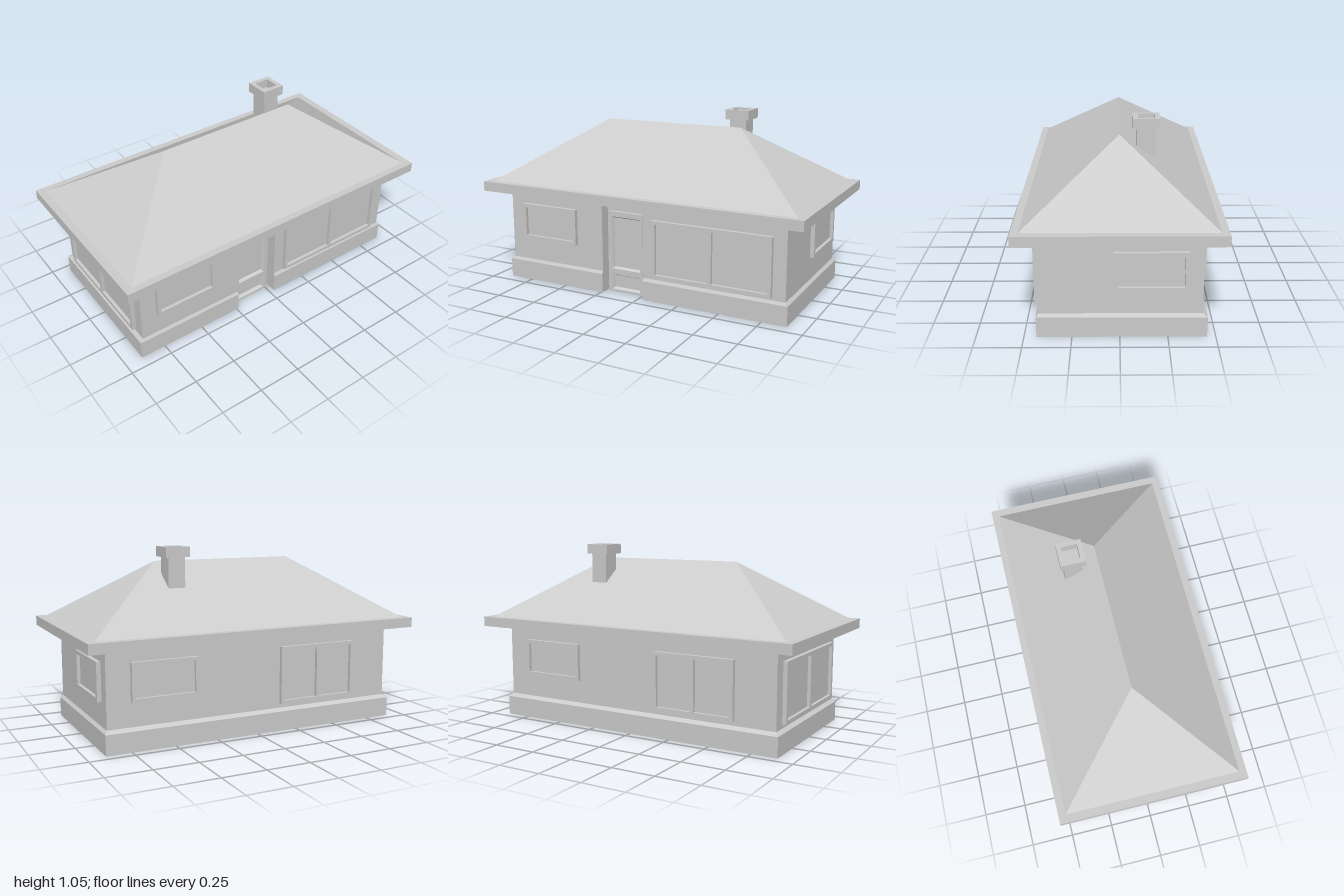
import * as THREE from 'three';

// Stack of closed plan outlines [[x, z], ...] at given heights, joined by flat quads
function loft(rings) {
  const pos = [];
  for (let r = 0; r < rings.length - 1; r++) {
    const [lo, y0] = rings[r], [hi, y1] = rings[r + 1], n = lo.length;
    for (let i = 0; i < n; i++) {
      const j = (i + 1) % n;
      const a = [lo[i][0], y0, lo[i][1]], b = [lo[j][0], y0, lo[j][1]];
      const c = [hi[j][0], y1, hi[j][1]], d = [hi[i][0], y1, hi[i][1]];
      pos.push(...a, ...b, ...c, ...a, ...c, ...d);
    }
  }
  const g = new THREE.BufferGeometry();
  g.setAttribute('position', new THREE.Float32BufferAttribute(pos, 3));
  g.computeVertexNormals();
  return g;
}

const rect = (x0, x1, y0, y1) => [[x0, y0], [x1, y0], [x1, y1], [x0, y1]];
const toPoints = (pts) => pts.map(([x, y]) => new THREE.Vector2(x, y));

// Flat plate with holes, thickness along +z
function plate(outline, holes, depth) {
  const shape = new THREE.Shape(toPoints(outline));
  for (const h of holes) shape.holes.push(new THREE.Path(toPoints(h)));
  return new THREE.ExtrudeGeometry(shape, { depth, bevelEnabled: false });
}

export function createModel() {
  const model = new THREE.Group();
  const plaster = new THREE.MeshStandardMaterial({ color: 0xcccccc, side: THREE.DoubleSide });
  plaster.name = 'pale grey';

  const add = (name, geometry, parent = model) => {
    const m = new THREE.Mesh(geometry, plaster);
    m.name = name;
    parent.add(m);
    return m;
  };

  // Plan outline with the door recess notched into the +x side
  const plan = (x0, x1, z0, z1) => [
    [x0, z1], [x1, z1], [x1, 0.24], [0.36, 0.24],
    [0.36, -0.03], [x1, -0.03], [x1, z0], [x0, z0],
  ];
  const basePlan = plan(-0.455, 0.435, -0.895, 0.9);
  const wallPlan = plan(-0.43, 0.425, -0.88, 0.88);

  // Plinth with sloped top edge, then hollow walls
  add('plinth', loft([[basePlan, 0], [basePlan, 0.113], [wallPlan, 0.13]]));
  add('walls', loft([[wallPlan, 0.13], [wallPlan, 0.56]]));

  // Eaves slab, open over the rooms
  const flip = (pts) => pts.map(([x, z]) => [x, -z]);
  const eaves = plate(rect(-0.54, 0.54, -1, 1), [flip(wallPlan)], 0.057);
  add('eaves', eaves.rotateX(-Math.PI / 2).translate(0, 0.555, 0));

  // Hipped roof: a rectangle drawn in to the ridge line
  const roofFoot = [[-0.5, 0.955], [0.5, 0.955], [0.5, -0.955], [-0.5, -0.955]];
  const ridge = [[0, 0.435], [0, 0.435], [0, -0.435], [0, -0.435]];
  add('roof', loft([[roofFoot, 0.612], [ridge, 0.963]]));

  // Chimney with a hollow cap
  const chimney = new THREE.Group();
  chimney.name = 'chimney';
  chimney.position.set(-0.145, 0, -0.38);
  model.add(chimney);
  add('chimneyStack', new THREE.BoxGeometry(0.108, 0.205, 0.1).translate(0, 0.8975, 0), chimney);
  const cap = plate(rect(-0.073, 0.073, -0.072, 0.072), [rect(-0.045, 0.045, -0.045, 0.045)], 0.057);
  add('chimneyCap', cap.rotateX(-Math.PI / 2).translate(0, 0.995, 0), chimney);

  // Framed opening: raised frame, sloped reveals and a pane close to the wall
  function framed(name, w, h, holes, depth, position, turn) {
    const g = new THREE.Group();
    g.name = name;
    g.position.set(...position);
    g.rotation.y = turn;
    model.add(g);
    add('frame', plate(rect(-w / 2, w / 2, 0, h), holes, depth), g);
    for (const q of holes) {
      const [[x0, y0], , [x1, y1]] = q;
      add('pane', new THREE.PlaneGeometry(x1 - x0, y1 - y0)
        .translate((x0 + x1) / 2, (y0 + y1) / 2, 0.005), g);
    }
    return g;
  }

  // Window with equal panes side by side; u is measured along the wall
  function window_(name, w, y0, y1, panes, position, turn) {
    const edge = 0.021, h = y1 - y0, pw = (w - edge * (panes + 1)) / panes;
    const holes = [];
    for (let i = 0; i < panes; i++) {
      const x = -w / 2 + edge + i * (pw + edge);
      holes.push(rect(x, x + pw, edge, h - edge));
    }
    framed(name, w, h, holes, 0.024, [position[0], y0, position[1]], turn);
  }
  const left = Math.PI / 2, right = -Math.PI / 2;
  window_('frontWindow', 0.71, 0.152, 0.487, 2, [0, 0.88], 0);
  window_('backWindow', 0.385, 0.265, 0.48, 1, [-0.16, -0.88], Math.PI);
  window_('leftSmallWindow', 0.375, 0.265, 0.48, 1, [0.425, 0.598], left);
  window_('leftLargeWindow', 0.71, 0.145, 0.48, 2, [0.425, -0.45], left);
  window_('rightSmallWindow', 0.385, 0.265, 0.48, 1, [-0.43, -0.553], right);
  window_('rightLargeWindow', 0.49, 0.155, 0.487, 2, [-0.43, 0.397], right);

  // Recessed front door with a tall upper and a low lower panel
  const panels = [rect(-0.0925, 0.0925, 0.015, 0.105), rect(-0.0925, 0.0925, 0.14, 0.455)];
  const door = framed('door', 0.225, 0.485, panels, 0.024, [0.36, 0, 0.1075], left);
  for (const [[x0, y0], , [x1, y1]] of panels) {
    const b = 0.009;
    const outer = flip(rect(x0, x1, y0, y1));
    const inner = flip(rect(x0 + b, x1 - b, y0 + b, y1 - b));
    add('panelBevel', loft([[inner, 0.005], [outer, 0.024]]).rotateX(Math.PI / 2), door);
  }

  return model;
}
